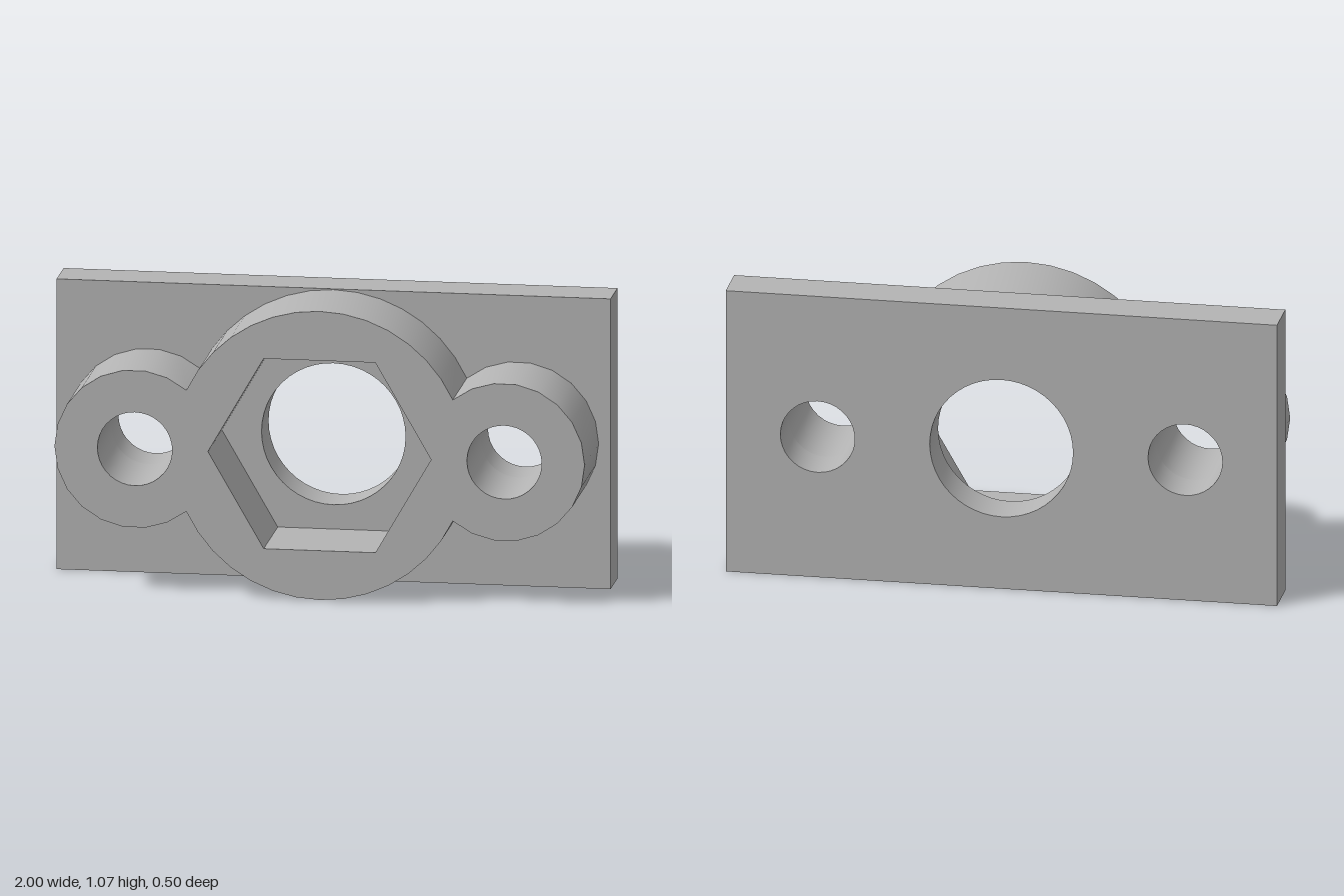
import * as THREE from 'three';
import { toCreasedNormals } from 'three/addons/utils/BufferGeometryUtils.js';

const CY = 0.533;             // height of the centre line
const EAR_X = 0.667;          // offset of the two bolt holes
const BIG_R = 0.53, EAR_R = 0.29;

// Points along an arc, both ends included
function arc(cx, cy, r, from, to, n) {
  return Array.from({ length: n + 1 }, (_, i) => {
    const a = from + (to - from) * i / n;
    return new THREE.Vector2(cx + r * Math.cos(a), cy + r * Math.sin(a));
  });
}

// Closed ring as a hole path
const ring = (cx, r, n) => new THREE.Path(arc(cx, CY, r, 0, Math.PI * 2, n).slice(0, -1));

function slab(name, outline, holes, z, depth, material) {
  const shape = new THREE.Shape(outline);
  shape.holes.push(...holes);
  const geometry = new THREE.ExtrudeGeometry(shape, { depth, bevelEnabled: false });
  geometry.translate(0, 0, z);
  const mesh = new THREE.Mesh(toCreasedNormals(geometry, 0.45), material);
  mesh.name = name;
  return mesh;
}

export function createModel() {
  const group = new THREE.Group();
  group.name = 'flangedNutMount';
  const grey = new THREE.MeshStandardMaterial({ color: 0xb4b4b4 });
  grey.name = 'plain grey';

  const boltHoles = () => [-1, 1].map(s => ring(s * EAR_X, 0.135, 36));

  // Rectangular back plate with three round holes
  const plate = [[-1, 0], [1, 0], [1, 2 * CY], [-1, 2 * CY]].map(p => new THREE.Vector2(...p));
  group.add(slab('backPlate', plate, [ring(0, 0.26, 48), ...boltHoles()], -0.248, 0.165, grey));

  // Raised boss: a large disc merged with an ear on each side
  const ix = (EAR_X ** 2 + BIG_R ** 2 - EAR_R ** 2) / (2 * EAR_X);
  const iy = Math.sqrt(BIG_R ** 2 - ix ** 2);
  const a = Math.atan2(iy, ix);
  const b = Math.atan2(iy, ix - EAR_X);
  const outline = [
    ...arc(EAR_X, CY, EAR_R, -b, b, 16).slice(0, -1),
    ...arc(0, CY, BIG_R, a, Math.PI - a, 14).slice(0, -1),
    ...arc(-EAR_X, CY, EAR_R, Math.PI - b, Math.PI + b, 16).slice(0, -1),
    ...arc(0, CY, BIG_R, Math.PI + a, 2 * Math.PI - a, 14).slice(0, -1),
  ];
  // The hexagonal nut pocket runs down to the plate
  group.add(slab('boss', outline, [ring(0, 0.403, 6), ...boltHoles()], -0.083, 0.331, grey));

  return group;
}
